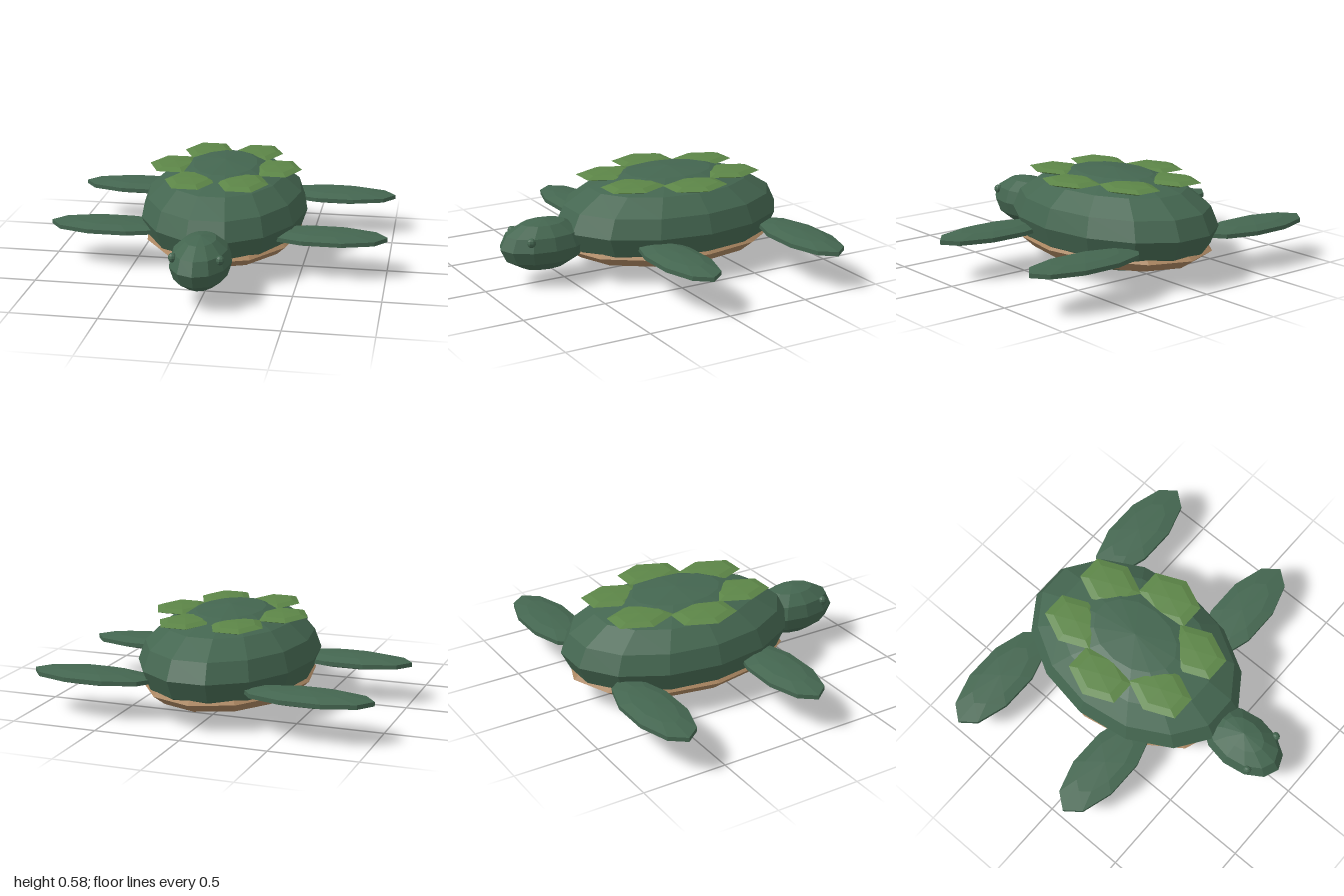
import * as THREE from 'three';

const mat = (name, color) => {
  const m = new THREE.MeshStandardMaterial({ color, flatShading: true });
  m.name = name;
  return m;
};

export function createModel() {
  const turtle = new THREE.Group();
  turtle.name = 'turtle';
  const skin = mat('deep green', 0x446650);
  const scuteGreen = mat('leaf green', 0x5c8547);
  const tan = mat('tan', 0xa98560);

  // Low-poly ellipsoid: radii, centre, segments around and from pole to pole
  const blob = (name, material, radii, centre, around, rings) => {
    const geometry = new THREE.SphereGeometry(1, around, rings);
    geometry.scale(...radii);
    const mesh = new THREE.Mesh(geometry, material);
    mesh.name = name;
    mesh.position.set(...centre);
    turtle.add(mesh);
  };

  // Body
  blob('shell', skin, [0.5, 0.29, 0.718], [0, 0.29, -0.2], 14, 8);
  blob('bellyRim', tan, [0.475, 0.12, 0.68], [0, 0.16, -0.2], 12, 6);
  blob('head', skin, [0.175, 0.15, 0.27], [0, 0.23, 0.63], 12, 6);

  // Eyes and flippers, mirrored
  for (const [side, s] of [['left', 1], ['right', -1]]) {
    blob(side + 'Eye', skin, [0.025, 0.027, 0.027], [s * 0.132, 0.29, 0.767], 8, 6);
    blob(side + 'FrontFlipper', skin, [0.39, 0.04, 0.163], [s * 0.63, 0.23, 0.107], 10, 5);
    blob(side + 'BackFlipper', skin, [0.39, 0.04, 0.163], [s * 0.63, 0.23, -0.722], 10, 5);
  }

  // Ring of six hexagonal scutes set into the top of the shell
  for (let i = 0; i < 6; i++) {
    const a = (i * Math.PI) / 3;
    blob('scute' + (i + 1), scuteGreen, [0.152, 0.021, 0.2],
      [0.31 * Math.cos(a), 0.535, -0.2 + 0.375 * Math.sin(a)], 6, 4);
  }
  return turtle;
}
